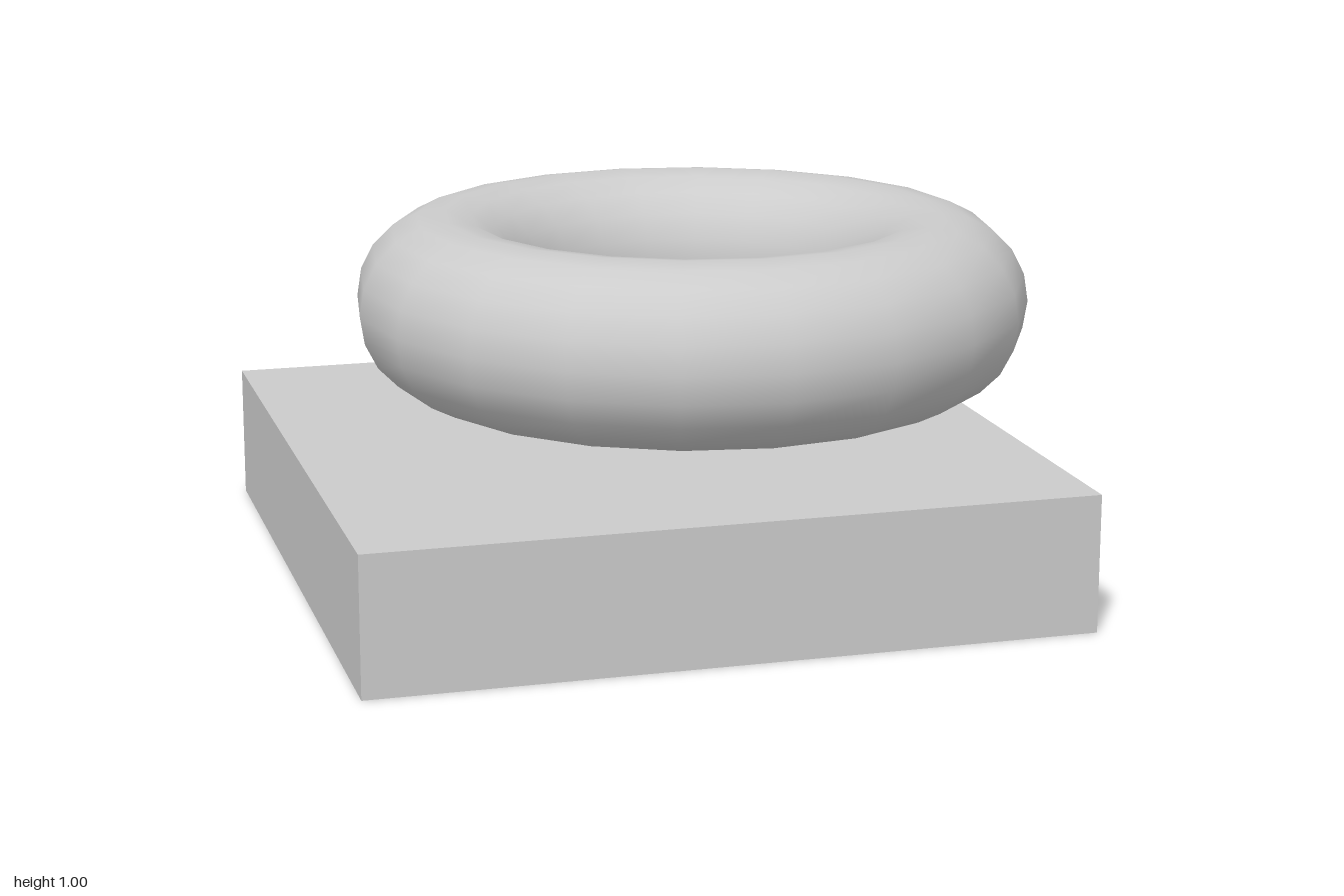
import * as THREE from 'three';

export function createModel() {
  const group = new THREE.Group();
  const material = new THREE.MeshStandardMaterial({ color: 0xcccccc });

  const addPart = (name, geometry, x, y, z) => {
    const mesh = new THREE.Mesh(geometry, material);
    mesh.name = name;
    mesh.position.set(x, y, z);
    group.add(mesh);
    return mesh;
  };

  // Square slab standing on the ground
  addPart('baseSlab', new THREE.BoxGeometry(1.925, 0.37, 1.925), -0.03, 0.185, -0.037);

  // Smooth ring floating flat above the slab, slightly off its centre
  const ring = new THREE.TorusGeometry(0.667, 0.24, 20, 20).rotateX(-Math.PI / 2);
  addPart('ring', ring, 0.08, 0.76, 0.093);

  return group;
}
